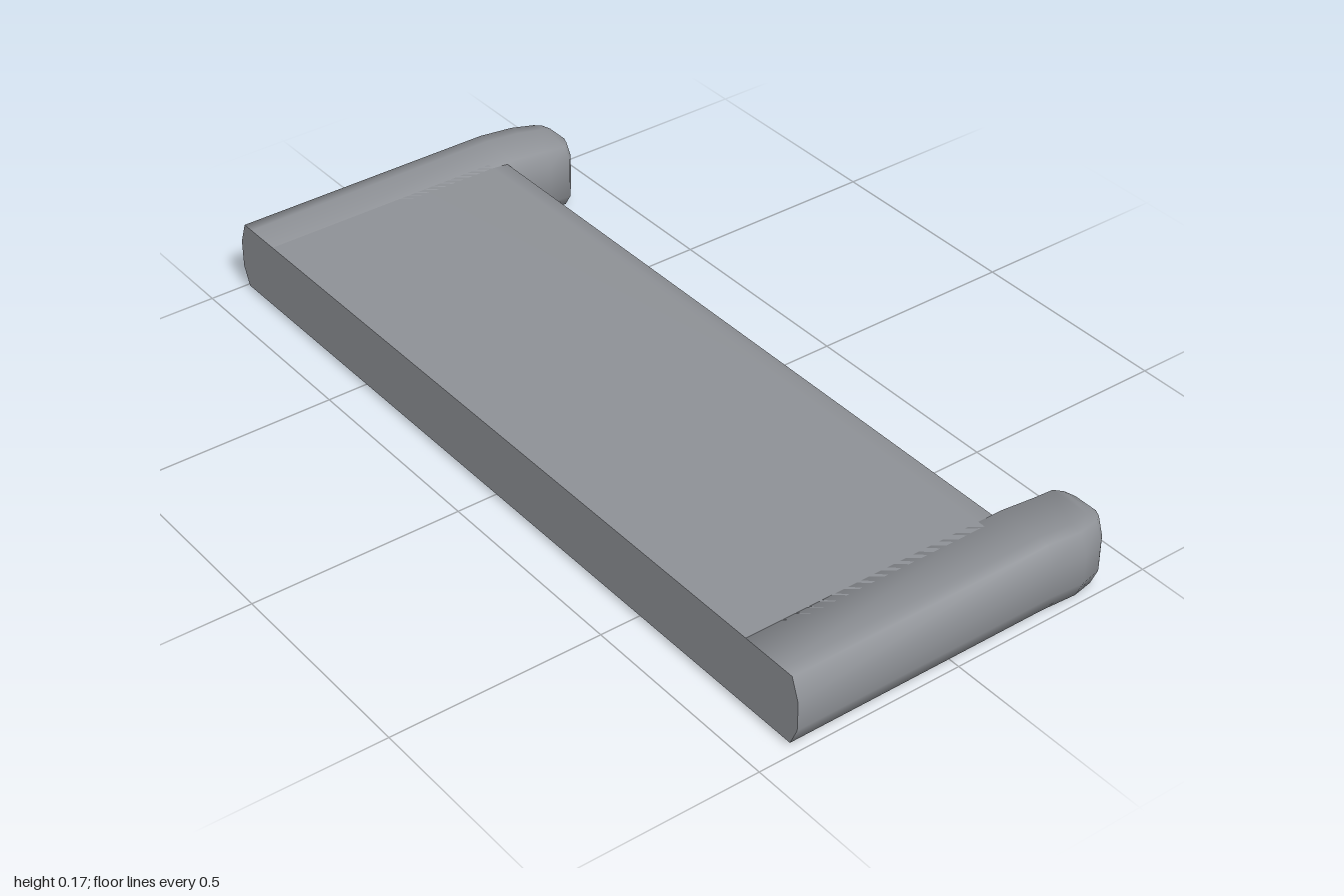
import * as THREE from 'three';
import { toCreasedNormals } from 'three/addons/utils/BufferGeometryUtils.js';

// Skin a list of equal-length rings and close both ends
function loft(rings) {
  const pos = [];
  const tri = (a, b, c) => pos.push(...a, ...b, ...c);
  const n = rings[0].length;
  for (let i = 0; i < rings.length - 1; i++) {
    for (let j = 0; j < n; j++) {
      const k = (j + 1) % n;
      const a = rings[i][j], b = rings[i][k], c = rings[i + 1][k], d = rings[i + 1][j];
      tri(a, d, c);
      tri(a, c, b);
    }
  }
  const first = rings[0], last = rings[rings.length - 1];
  for (let j = 1; j < n - 1; j++) {
    tri(first[0], first[j], first[j + 1]);
    tri(last[0], last[j + 1], last[j]);
  }
  const geo = new THREE.BufferGeometry();
  geo.setAttribute('position', new THREE.Float32BufferAttribute(pos, 3));
  return toCreasedNormals(geo, 1.25);
}

// Side arm section: bevelled box between inner/outer x and bottom/top y
function armRing([z, xi, xo, yb, yt]) {
  const h = yt - yb, w = xo - xi;
  return [
    [xi + 0.12 * w, yb, z], [xo - 0.28 * w, yb, z], [xo - 0.11 * w, yb, z],
    [xo, yb + 0.27 * h, z], [xo, yt - 0.32 * h, z],
    [xo - 0.11 * w, yt, z], [xo - 0.28 * w, yt, z], [xi + 0.12 * w, yt, z],
    [xi, yt - 0.2 * h, z], [xi, yb + 0.2 * h, z],
  ];
}

export function createModel() {
  const group = new THREE.Group();
  const grey = new THREE.MeshStandardMaterial({ color: 0x8e9196 });
  grey.name = 'grey';
  const add = (name, geo) => {
    const mesh = new THREE.Mesh(geo, grey);
    mesh.name = name;
    group.add(mesh);
  };

  // Central slab with a bevelled back edge, as [z, y] points
  const profile = [
    [0.41, 0.01], [-0.18, 0.01], [-0.22, 0.012], [-0.25, 0.05],
    [-0.25, 0.135], [-0.22, 0.172], [-0.18, 0.175], [0.41, 0.175],
  ];
  add('slab', loft([0.86, -0.86].map((x) => profile.map(([z, y]) => [x, y, z]))));

  // Side arms ending in rounded prongs: z, inner x, outer x, bottom, top
  const stations = [
    [0.41, 0.82, 1, 0.01, 0.175],
    [-0.24, 0.82, 1, 0.01, 0.175],
    [-0.33, 0.82, 1, 0.004, 0.165],
    [-0.385, 0.82, 0.985, 0, 0.159],
    [-0.402, 0.84, 0.97, 0.025, 0.157],
    [-0.412, 0.87, 0.945, 0.05, 0.154],
  ];
  const rings = stations.map(armRing);
  add('leftArm', loft(rings));
  add('rightArm', loft(rings.map((r) => r.map(([x, y, z]) => [-x, y, z]).reverse())));

  return group;
}
